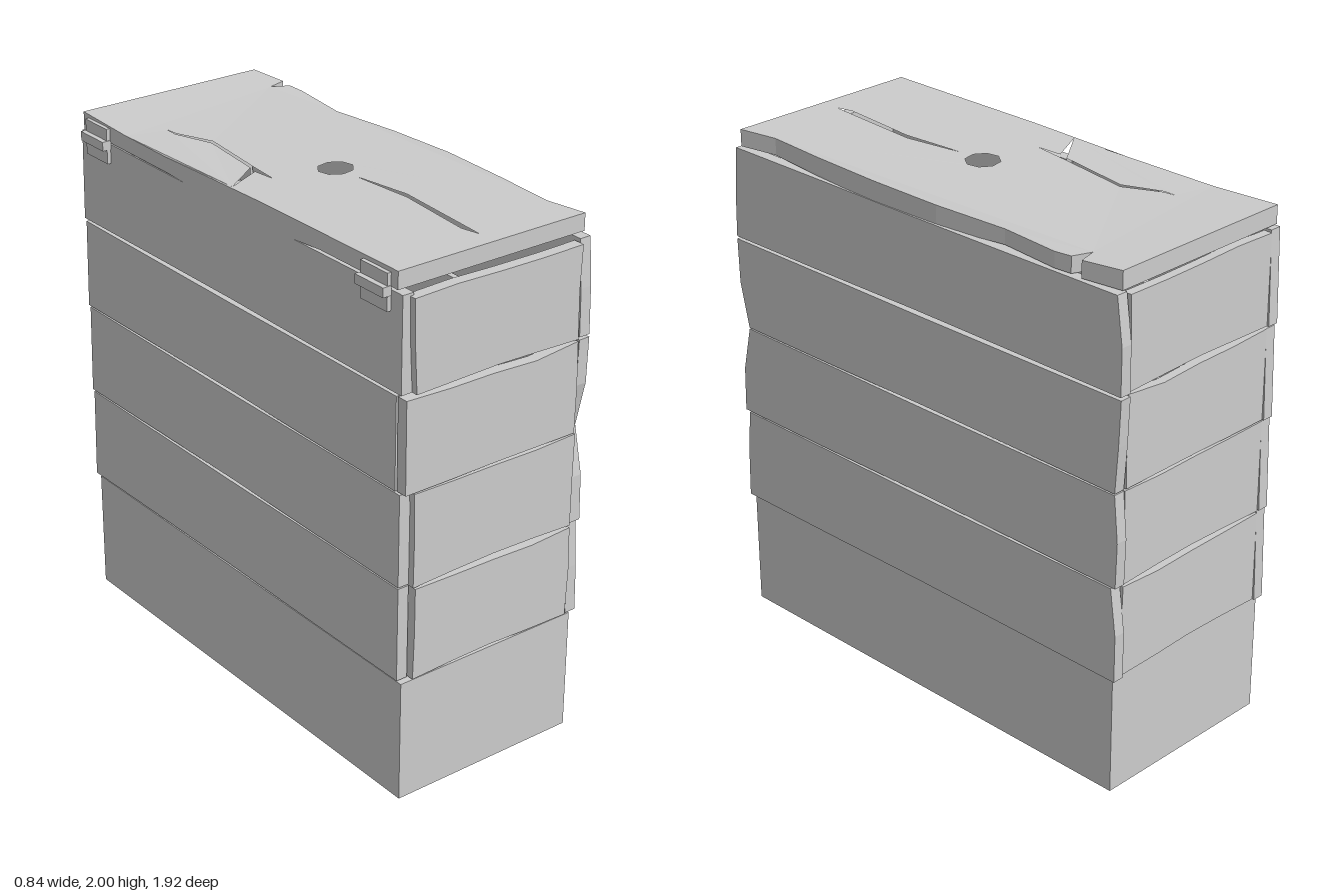
import * as THREE from 'three';

const material = new THREE.MeshStandardMaterial({ color: 0xcccccc, flatShading: true });

function addMesh(parent, name, geometry) {
  const mesh = new THREE.Mesh(geometry, material);
  mesh.name = name;
  parent.add(mesh);
  return mesh;
}

function box(parent, name, x0, x1, y0, y1, z0, z1) {
  const mesh = addMesh(parent, name, new THREE.BoxGeometry(x1 - x0, y1 - y0, z1 - z0));
  mesh.position.set((x0 + x1) / 2, (y0 + y1) / 2, (z0 + z1) / 2);
}

const shapeOf = (points) => new THREE.Shape(points.map(([x, y]) => new THREE.Vector2(x, y)));
const extrude = (shape, depth) => new THREE.ExtrudeGeometry(shape, { depth, bevelEnabled: false });

// Piecewise linear lookup through [t, value] pairs in rising t
function along(pairs, t) {
  for (let i = 1; i < pairs.length; i++) {
    const [a, va] = pairs[i - 1], [b, vb] = pairs[i];
    if (t <= b) return va + (vb - va) * Math.max(0, (t - a) / (b - a));
  }
  return pairs[pairs.length - 1][1];
}

// Worn board outline: straight-ish length with wavy edges, ends given as [lower, middle, upper]
function boardShape(low, high, y0, y1, bottomWave, topWave) {
  const at = (ends, t) => ends[0] + (ends[2] - ends[0]) * t;
  const row = (y, wave, t) => wave.map((w, i) => {
    const k = i / (wave.length - 1);
    return [at(low, t) * (1 - k) + at(high, t) * k, y + w];
  });
  const mid = (y0 + y1) / 2;
  return shapeOf([
    ...row(y0, bottomWave, 0), [high[1], mid],
    ...row(y1, topWave, 1).reverse(), [low[1], mid],
  ]);
}

const rows = [[0.48, 0.845], [0.85, 1.205], [1.21, 1.56], [1.57, 1.925]];
const bottomWaves = [[0, 0.007, 0.01, 0.003, 0], [-0.005, 0.002, 0.006, 0.002, -0.006],
  [0, 0, 0.002, 0.001, 0], [0, 0.004, 0.008, 0.003, -0.003]];
const topWaves = [[-0.008, -0.012, -0.014, -0.02, -0.01], [0, -0.003, -0.003, -0.006, 0],
  [0, -0.008, -0.009, -0.018, 0], [-0.01, -0.005, -0.01, -0.012, -0.01]];

// Board ends per row, from the lowest row up
const sideFront = [[0.955, 0.95, 0.935], [0.955, 0.95, 0.91], [0.91, 0.95, 0.955], [0.955, 0.95, 0.935]];
const sideBack = [[-0.96, -0.96, -0.935], [-0.955, -0.96, -0.943], [-0.943, -0.955, -0.962], [-0.96, -0.96, -0.935]];
const endLeft = [[0.362, 0.37, 0.365], [0.365, 0.365, 0.368], [0.362, 0.365, 0.36], [0.36, 0.355, 0.362]];
const endRight = [[-0.34, -0.335, -0.335], [-0.345, -0.343, -0.347], [-0.385, -0.386, -0.387], [-0.345, -0.355, -0.36]];

function buildSides(group) {
  rows.forEach(([y0, y1], i) => {
    // Long side boards
    const slim = [0, 0.003, 0.005, 0.001, 0];
    const left = extrude(boardShape(sideBack[i], sideFront[i], y0, y1, slim, slim.map((w) => -w / 2)), 0.045);
    addMesh(group, 'leftBoard', left.rotateY(-Math.PI / 2)).position.x = 0.415;
    const front = i === 2 ? 0.91 : 0.935;
    const right = extrude(boardShape([-0.955, -0.95, -0.945], [front, front, front], y0, y1,
      slim, slim.map((w) => -w / 2)), 0.045);
    addMesh(group, 'rightBoard', right.rotateY(-Math.PI / 2)).position.x = -0.345;

    // Short end boards
    const end = extrude(boardShape(endRight[i], endLeft[i], y0, y1, bottomWaves[i], topWaves[i]), 0.045);
    addMesh(group, 'frontBoard', end).position.z = 0.915;
    const back = boardShape([-0.345, -0.345, -0.345], endLeft[i], y0, y1, bottomWaves[i], topWaves[i]);
    addMesh(group, 'backBoard', extrude(back, 0.035)).position.z = -0.947;
  });
}

function buildLid(group) {
  // Outline in x, z with a worn left edge and a small notch
  const edge = [[0.385, -0.93], [0.405, -0.77], [0.33, -0.75], [0.4, -0.72], [0.405, -0.65], [0.378, -0.4],
    [0.405, -0.1], [0.413, 0.2], [0.4, 0.5], [0.382, 0.75], [0.41, 0.91]];
  const straight = [0.91, 0.5, 0.2, -0.1, -0.4, -0.65, -0.93].map((z) => [-0.39, z]);
  const flip = (points) => points.map(([x, z]) => [x, -z]);
  const shape = shapeOf(flip([...edge, ...straight]));

  // Knot hole and two long cracks
  const knot = [];
  for (let i = 0; i < 8; i++) {
    const a = (i / 8) * Math.PI * 2 + 0.2;
    knot.push([0.005 + 0.067 * Math.cos(a), 0.075 + 0.063 * Math.sin(a)]);
  }
  const longCrack = [[0.01, 0.19], [0.045, 0.42], [0.012, 0.83], [-0.004, 0.76], [0.028, 0.44]];
  const forkedCrack = [[-0.235, -0.61], [-0.23, -0.56], [-0.167, -0.42], [-0.21, -0.11], [-0.225, 0.02],
    [-0.232, -0.075], [-0.38, -0.003], [-0.222, -0.115], [-0.18, -0.41], [-0.236, -0.56]];
  for (const hole of [knot, longCrack, forkedCrack]) shape.holes.push(shapeOf(flip(hole)));

  // Warp the top and underside along the length
  const geometry = extrude(shape, 0.07).rotateX(-Math.PI / 2);
  const topLine = [[-0.93, 2], [-0.65, 1.988], [-0.4, 1.985], [-0.1, 1.992], [0.2, 1.998], [0.91, 2]];
  const underLine = [[-0.93, 1.93], [-0.4, 1.928], [-0.1, 1.915], [0.2, 1.912], [0.5, 1.935], [0.91, 1.935]];
  const p = geometry.attributes.position;
  for (let i = 0; i < p.count; i++) p.setY(i, along(p.getY(i) > 0.035 ? topLine : underLine, p.getZ(i)));
  geometry.computeVertexNormals();
  addMesh(group, 'lid', geometry);
}

export function createModel() {
  const model = new THREE.Group();
  model.name = 'boardedBox';

  box(model, 'base', -0.387, 0.388, 0, 0.475, -0.93, 0.955);
  buildSides(model);
  buildLid(model);

  // Hinges on the right side
  for (const z of [-0.825, 0.805]) {
    const hinge = new THREE.Group();
    hinge.name = 'hinge';
    box(hinge, 'upperLeaf', -0.405, -0.385, 1.94, 1.985, z - 0.07, z + 0.07);
    box(hinge, 'lowerLeaf', -0.405, -0.385, 1.85, 1.905, z - 0.07, z + 0.07);
    box(hinge, 'knuckle', -0.425, -0.39, 1.905, 1.94, z - 0.073, z + 0.073);
    model.add(hinge);
  }
  return model;
}
